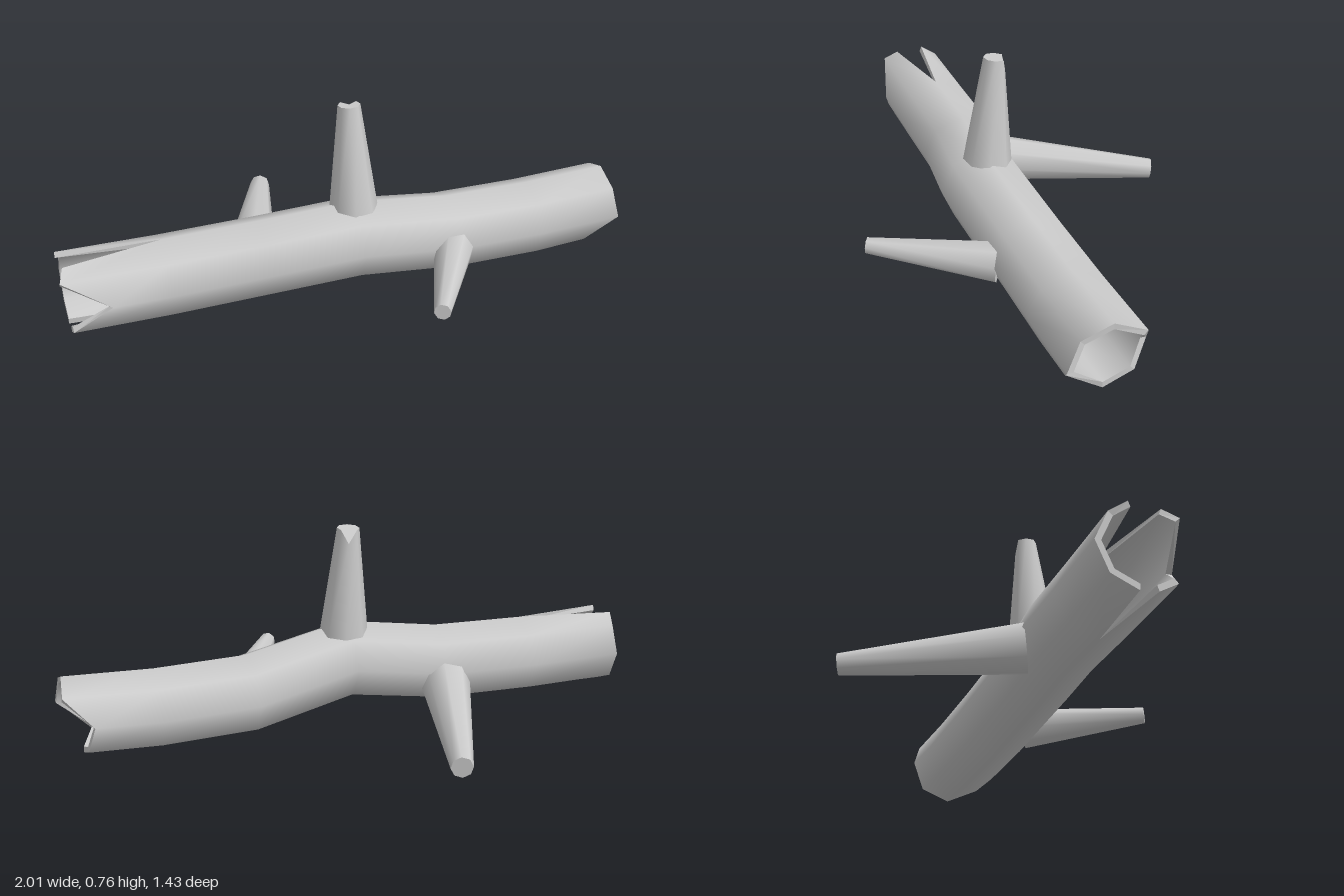
import * as THREE from 'three';
import { mergeVertices } from 'three/addons/utils/BufferGeometryUtils.js';

const V = (x, y, z) => new THREE.Vector3(x, y, z);
const material = new THREE.MeshStandardMaterial({ color: 0xcccccc, side: THREE.DoubleSide });

// Trunk centre line
const path = [
  V(-0.92, 0.19, -0.545), V(-0.61, 0.187, -0.36), V(-0.3, 0.195, -0.17), V(-0.02, 0.235, 0.055),
  V(0.35, 0.162, 0.225), V(0.655, 0.155, 0.4), V(0.9, 0.167, 0.545),
];
const last = path.length - 1;

// One column per corner of the octagon: angle (0 = back, 90 = top), its angle at
// the split end, how far it reaches past each end, and whether a split follows it.
const columns = [
  { a: 0, split: 0, start: 0, end: -0.04 },
  { a: 45, split: 45, start: 0, end: 0.06 },
  { a: 90, split: 70, start: 0.02, end: 0.045, gap: true },
  { a: 90, split: 112, start: 0.01, end: 0.045 },
  { a: 135, split: 135, start: 0.03, end: 0.04 },
  { a: 180, split: 180, start: -0.14, end: 0.05 },
  { a: 225, split: 225, start: 0, end: -0.07 },
  { a: 270, split: 253, start: 0, end: -0.02, gap: true },
  { a: 270, split: 276, start: 0, end: -0.02 },
  { a: 315, split: 315, start: 0, end: -0.02 },
];
const count = columns.length;

// Point on the trunk at a ring and column, inset from the bark
function trunkPoint(ring, col, inset) {
  const c = columns[col % count];
  const along = path[Math.min(ring + 1, last)].clone().sub(path[Math.max(ring - 1, 0)]).setY(0).normalize();
  const side = V(along.z, 0, -along.x);
  const angle = THREE.MathUtils.degToRad(ring === 0 ? c.split : c.a);
  const reach = ring === 0 ? -c.start : ring === last ? c.end : 0;
  return path[ring].clone()
    .addScaledVector(side, Math.cos(angle) * (0.16 - inset))
    .addScaledVector(along, reach)
    .add(V(0, Math.sin(angle) * (0.15 - inset), 0));
}

function quadsMesh(name, quads, smooth) {
  const points = quads.flatMap(([a, b, c, d]) => [a, b, c, a, c, d]);
  let geometry = new THREE.BufferGeometry().setFromPoints(points);
  if (smooth) geometry = mergeVertices(geometry, 1e-4);
  geometry.computeVertexNormals();
  const mesh = new THREE.Mesh(geometry, material);
  mesh.name = name;
  return mesh;
}

function trunkWall(name, inset, inward) {
  const quads = [];
  for (let r = 0; r < last; r++) {
    for (let c = 0; c < count; c++) {
      if (columns[c].gap) continue;
      const quad = [
        trunkPoint(r, c, inset), trunkPoint(r + 1, c, inset),
        trunkPoint(r + 1, c + 1, inset), trunkPoint(r, c + 1, inset),
      ];
      quads.push(inward ? quad : quad.reverse());
    }
  }
  return quadsMesh(name, quads, true);
}

// Broken edge joining bark and hollow, following the splits to their tips
function trunkRim(name, ring) {
  const loop = [];
  for (let c = 0; c < count; c++) {
    loop.push([ring, c]);
    if (columns[c].gap && ring === 0) loop.push([1, c]);
  }
  const quads = loop.map(([r, c], i) => {
    const [r2, c2] = loop[(i + 1) % loop.length];
    const quad = [
      trunkPoint(r, c, 0), trunkPoint(r2, c2, 0),
      trunkPoint(r2, c2, 0.022), trunkPoint(r, c, 0.022),
    ];
    return ring === 0 ? quad.reverse() : quad;
  });
  return quadsMesh(name, quads, false);
}

// Tapered eight-sided branch stub, its base sunk slightly into the trunk
function branch(name, base, tip, baseRadius, tipRadius, sink) {
  const dir = tip.clone().sub(base).normalize();
  const root = base.clone().addScaledVector(dir, -sink);
  const length = root.distanceTo(tip);
  const geometry = new THREE.CylinderGeometry(tipRadius, baseRadius, length, 8);
  const mesh = new THREE.Mesh(geometry, material);
  mesh.name = name;
  mesh.position.copy(root).lerp(tip, 0.5);
  mesh.quaternion.setFromUnitVectors(V(0, 1, 0), dir);
  return mesh;
}

export function createModel() {
  const group = new THREE.Group();
  group.name = 'hollowLog';
  group.add(
    trunkWall('bark', 0, false),
    trunkWall('hollow', 0.022, true),
    trunkRim('splitEnd', 0),
    trunkRim('brokenEnd', last),
  );

  const top = branch('topBranch', V(0, 0.37, 0.042), V(0.01, 0.763, 0.012), 0.092, 0.042, 0.02);
  // Chip in the upper branch's tip, on its back left corner
  const p = top.geometry.attributes.position;
  for (let i = 0; i < p.count; i++) {
    if (p.getY(i) > 0 && p.getX(i) > 0.02 && p.getZ(i) < -0.02) p.setY(i, p.getY(i) - 0.05);
  }
  group.add(
    top,
    branch('backBranch', V(-0.2, 0.14, -0.3), V(0.265, 0.083, -0.69), 0.094, 0.04, 0.04),
    branch('frontBranch', V(0.24, 0.145, 0.34), V(-0.14, 0.17, 0.565), 0.078, 0.031, 0.04),
  );
  return group;
}
